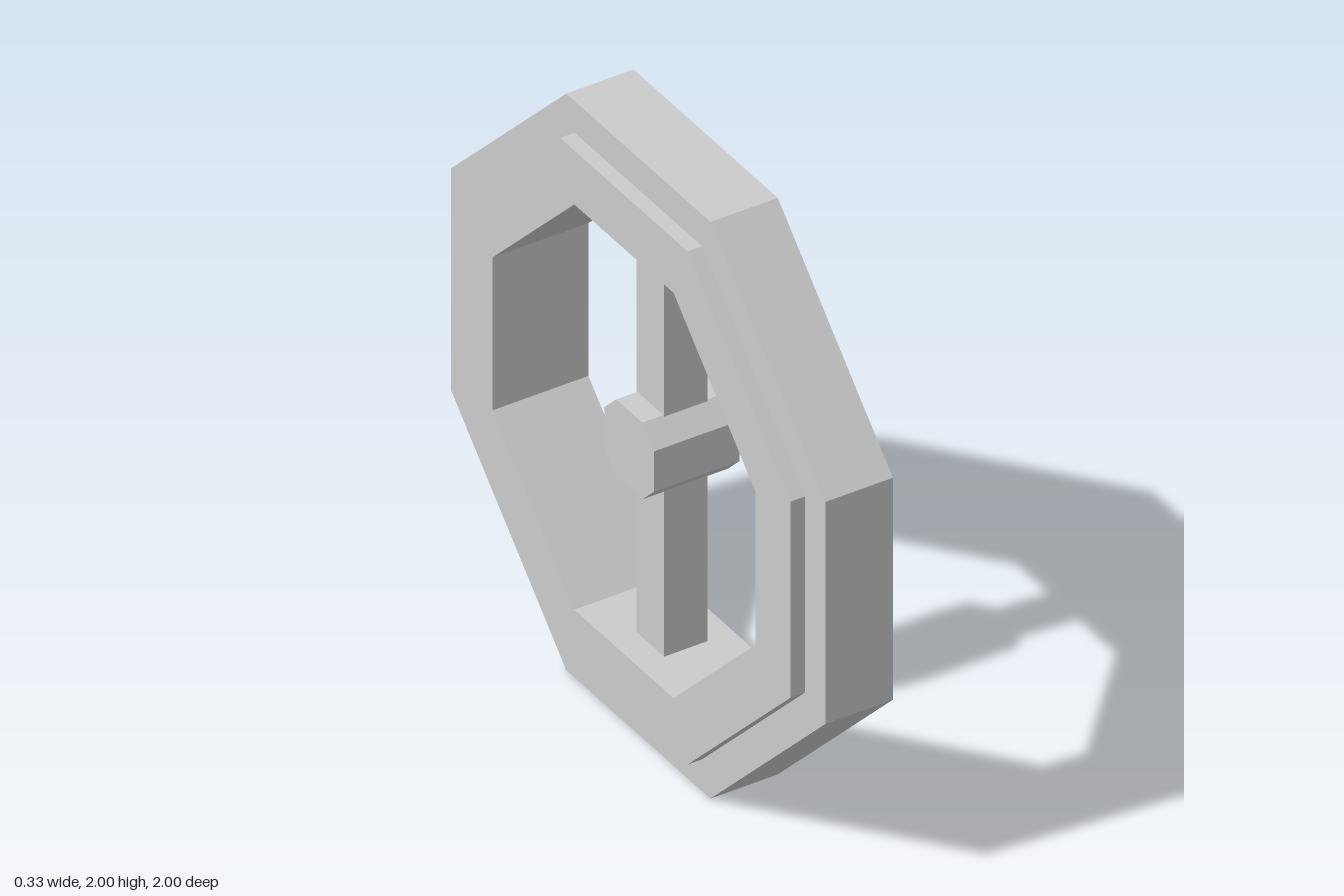
import * as THREE from 'three';

const material = new THREE.MeshStandardMaterial({ color: 0xcccccc, flatShading: true });

// Octagon corners: a = half width across flats, b = half length of the upright and level sides
function octagon(a, b) {
  return [[a, b], [b, a], [-b, a], [-a, b], [-a, -b], [-b, -a], [b, -a], [a, -b]]
    .map(([x, y]) => new THREE.Vector2(x, y));
}

// Octagonal prism along x, with an optional octagonal hole
function prism(name, outer, hole, width) {
  const shape = new THREE.Shape(octagon(...outer));
  if (hole) shape.holes.push(new THREE.Path(octagon(...hole)));
  const geometry = new THREE.ExtrudeGeometry(shape, { depth: width, bevelEnabled: false });
  geometry.translate(0, 0, -width / 2).rotateY(Math.PI / 2);
  return part(name, geometry, 1);
}

function part(name, geometry, y) {
  const mesh = new THREE.Mesh(geometry, material);
  mesh.name = name;
  mesh.position.y = y;
  return mesh;
}

export function createModel() {
  const wheel = new THREE.Group();
  wheel.name = 'wheel';

  const rimOuter = [0.89, 0.34];
  const rimInner = [0.703, 0.265];

  // Tyre, the wider rim standing proud of it, and the hub
  wheel.add(prism('tyre', [1, 0.385], rimOuter, 0.228));
  wheel.add(prism('rim', rimOuter, rimInner, 0.326));
  wheel.add(prism('hub', [0.133, 0.07], null, 0.29));

  // Upper and lower spokes, from inside the hub to the rim
  const inside = 0.1;
  const length = rimInner[0] - inside;
  for (const [name, side] of [['upperSpoke', 1], ['lowerSpoke', -1]]) {
    wheel.add(part(name, new THREE.BoxGeometry(0.147, length, 0.147), 1 + side * (inside + length / 2)));
  }

  return wheel;
}
